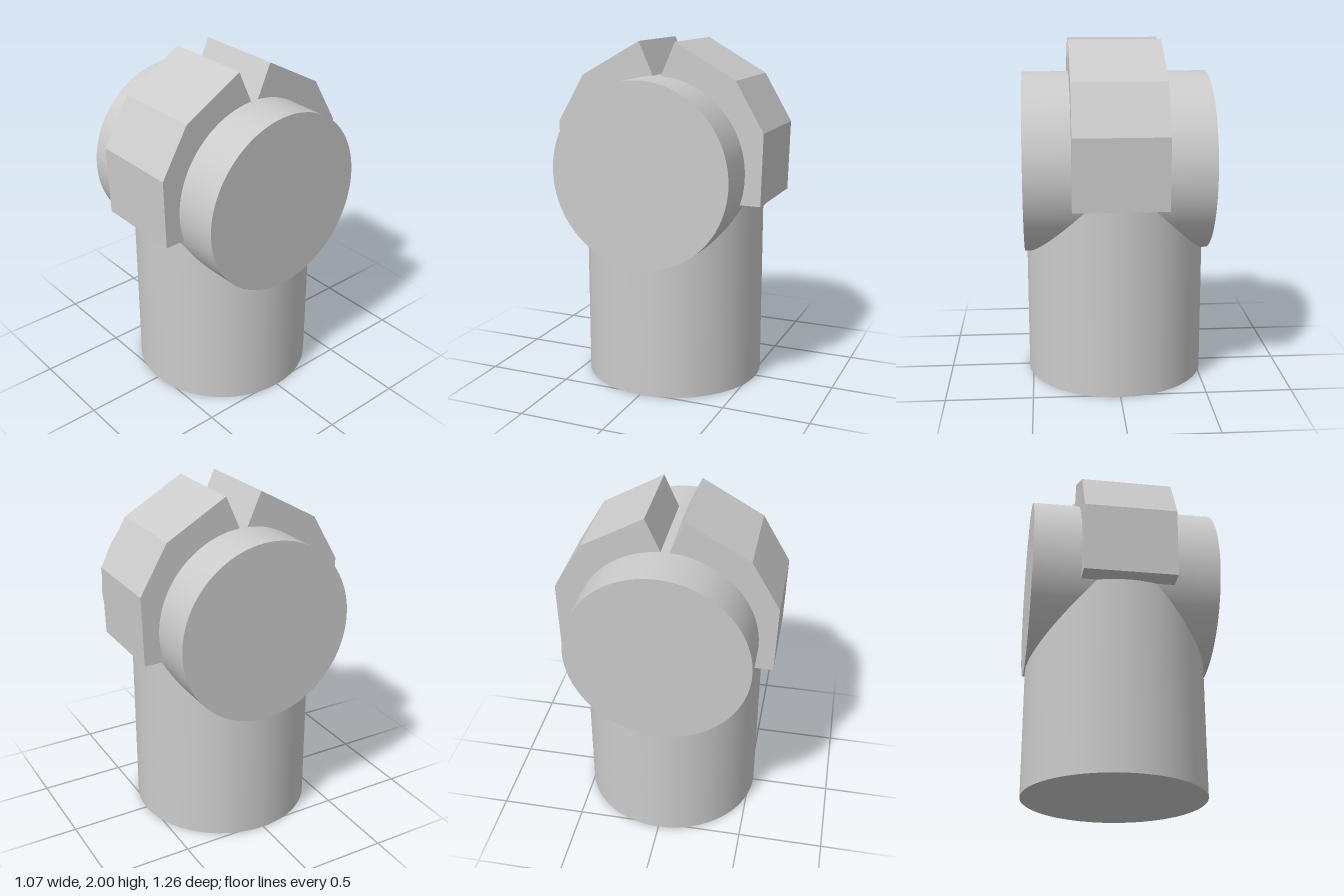
import * as THREE from 'three';

const RADIUS = 0.527, AXIS_Y = 1.283;

export function createModel() {
  const model = new THREE.Group();
  const material = new THREE.MeshStandardMaterial({ color: 0xcccccc });

  const add = (name, geometry) => {
    const mesh = new THREE.Mesh(geometry, material);
    mesh.name = name;
    model.add(mesh);
    return mesh;
  };

  // Upright post, ending inside the cross barrel
  add('post', new THREE.CylinderGeometry(RADIUS, RADIUS, AXIS_Y, 96).translate(-0.002, AXIS_Y / 2, 0));

  // Horizontal barrel lying along x
  add('barrel', new THREE.CylinderGeometry(RADIUS, RADIUS, 1.07, 96).rotateZ(Math.PI / 2).translate(0, AXIS_Y, 0));

  // Faceted clamp jaw: angular outside, curved inside to sit on the barrel
  const jaw = new THREE.Shape();
  jaw.moveTo(0.5, 1.115);
  [[0.619, 1.115], [0.63, 1.522], [0.467, 1.8], [0.11, 2], [0.024, 1.808]].forEach(([z, y]) => jaw.lineTo(z, y));
  const start = Math.PI / 2 - 0.046, end = -0.325;
  jaw.absarc(0, AXIS_Y, RADIUS - 0.003, start, end, true);
  jaw.closePath();

  const width = 0.53;
  for (const [name, side] of [['frontJaw', -1], ['backJaw', 1]]) {
    const geometry = new THREE.ExtrudeGeometry(jaw, { depth: width, bevelEnabled: false, curveSegments: 32 });
    geometry.translate(0, 0, -width / 2).rotateY(side * Math.PI / 2).translate(0.004, 0, 0);
    add(name, geometry);
  }

  model.position.z = -0.002;
  return model;
}
